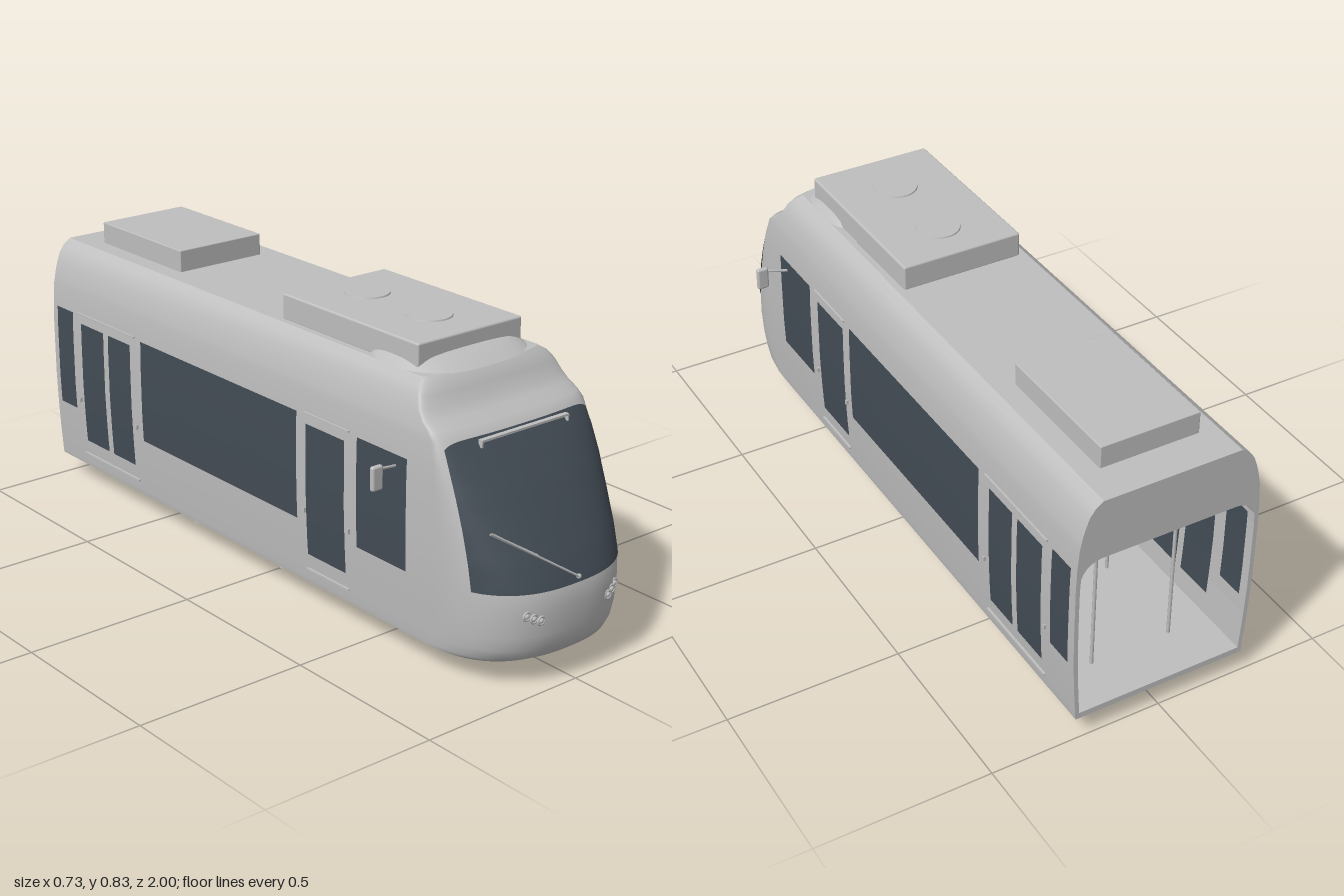
import * as THREE from 'three';
import { RoundedBoxGeometry } from 'three/addons/geometries/RoundedBoxGeometry.js';

// Body sections by height: [y, half width, front z, nose depth]
const SECTIONS = [
  [0.067, 0.255, 0.95, 0.25], [0.08, 0.257, 0.973, 0.25], [0.11, 0.259, 0.989, 0.25],
  [0.15, 0.262, 0.997, 0.25], [0.22, 0.266, 1.0, 0.25], [0.275, 0.268, 0.993, 0.25],
  [0.34, 0.27, 0.962, 0.21], [0.42, 0.27, 0.915, 0.16], [0.5, 0.27, 0.865, 0.115],
  [0.57, 0.268, 0.815, 0.075], [0.63, 0.263, 0.77, 0.045], [0.65, 0.259, 0.748, 0.04],
  [0.668, 0.255, 0.715, 0.035], [0.69, 0.249, 0.69, 0.03], [0.72, 0.238, 0.674, 0.03],
  [0.742, 0.222, 0.66, 0.03], [0.757, 0.2, 0.645, 0.03],
];
const HALF = Math.PI / 2;
const INNER = 0.012; // wall thickness

function section(y) {
  let i = 0;
  while (i < SECTIONS.length - 2 && SECTIONS[i + 1][0] < y) i++;
  const a = SECTIONS[i], b = SECTIONS[i + 1];
  const k = THREE.MathUtils.clamp((y - a[0]) / (b[0] - a[0]), 0, 1);
  return a.map((v, j) => v + (b[j] - v) * k);
}

// Point on the rounded nose; t runs from the right flank to the left flank
function nosePoint(t, y, out = 0) {
  const [, w, f, L] = section(y);
  const s = Math.sin(t), c = Math.max(0, Math.cos(t));
  return [Math.sign(s) * Math.abs(s) ** 0.8 * (w + out), y, f - L + (L + out) * c ** 0.8];
}

function grid(nu, nv, fn) {
  const pos = [], idx = [];
  for (let j = 0; j <= nv; j++) for (let i = 0; i <= nu; i++) pos.push(...fn(i / nu, j / nv, i, j));
  for (let j = 0; j < nv; j++) for (let i = 0; i < nu; i++) {
    const a = j * (nu + 1) + i, b = a + nu + 1;
    idx.push(a, a + 1, b + 1, a, b + 1, b);
  }
  const g = new THREE.BufferGeometry();
  g.setAttribute('position', new THREE.Float32BufferAttribute(pos, 3));
  g.setIndex(idx);
  g.computeVertexNormals();
  return g;
}

export function createModel() {
  const root = new THREE.Group();
  const grey = new THREE.MeshStandardMaterial({ color: 0xbebebe, side: THREE.DoubleSide });
  grey.name = 'bodyGrey';
  const dark = new THREE.MeshStandardMaterial({ color: 0x434c55, side: THREE.DoubleSide });
  dark.name = 'darkGlass';

  const add = (name, geo, mat = grey, x = 0, y = 0, z = 0) => {
    const m = new THREE.Mesh(geo, mat);
    m.name = name;
    m.position.set(x, y, z);
    root.add(m);
    return m;
  };
  const box = (name, w, h, d, x, y, z, mat) => add(name, new THREE.BoxGeometry(w, h, d), mat, x, y, z);
  const rod = (name, a, b, r) => {
    const path = new THREE.LineCurve3(new THREE.Vector3(...a), new THREE.Vector3(...b));
    return add(name, new THREE.TubeGeometry(path, 1, r, 8));
  };
  const disc = (name, r, width, x, y, z) => {
    const m = add(name, new THREE.CylinderGeometry(r, r, width, 32), grey, x, y, z);
    m.rotation.z = HALF;
    return m;
  };

  // Outer shell, open at the rear
  const N = 42;
  const outline = (i, y) => {
    const p = nosePoint(-HALF + Math.PI * THREE.MathUtils.clamp((i - 1) / (N - 2), 0, 1), y);
    if (i === 0 || i === N) p[2] = -1;
    return p;
  };
  add('bodyShell', grid(N, SECTIONS.length - 1, (u, v, i, j) => outline(i, SECTIONS[j][0])));
  const cap = (y, dir) => grid(N, 1, (u, v, i, j) => {
    const p = outline(i, y);
    return [p[0] * (dir > 0 ? 1 - j : j), y, p[2]];
  });
  add('roof', cap(0.757, 1));
  add('underside', cap(0.067, -1));

  // Inner lining and the rear end frame around the opening
  const lining = [[0, 0.085]];
  for (const y of [0.085, 0.2, 0.3, 0.42, 0.5]) lining.push([section(y)[1] - INNER, y]);
  for (let i = 1; i <= 6; i++) {
    const a = (i / 6) * HALF;
    lining.push([0.198 + 0.06 * Math.cos(a), 0.52 + 0.06 * Math.sin(a)]);
  }
  const mirrored = half => [...half, ...half.slice().reverse().map(([x, y]) => [-x, y])];
  const toVectors = pts => pts.map(p => new THREE.Vector2(...p));
  const ring = mirrored(lining);
  const wallShape = new THREE.Shape(toVectors(ring));
  const tube = grid(ring.length - 1, 1, (u, v, i, j) => [...ring[i], j ? 0.66 : -1]).toNonIndexed();
  tube.computeVertexNormals();
  add('innerLining', tube);
  add('cabWall', new THREE.ShapeGeometry(wallShape), grey, 0, 0, 0.66);
  const endShape = new THREE.Shape(toVectors(mirrored(SECTIONS.map(s => [s[1], s[0]]))));
  endShape.holes.push(new THREE.Path(toVectors(ring)));
  add('rearFrame', new THREE.ShapeGeometry(endShape), grey, 0, 0, -1);

  // Windscreen
  add('windscreen', grid(36, 24, (u, v) => {
    const k = u * 2 - 1;
    return nosePoint(k * 1.14, 0.27 + v * (0.359 - 0.016 * k ** 6), 0.003);
  }), dark);

  // Side glass, outside and inside: [z0, z1, y0, y1]
  const panes = [
    [0.45, 0.645, 0.25, 0.56], [0.24, 0.4, 0.155, 0.535], [-0.53, 0.2, 0.25, 0.56],
    [-0.7, -0.585, 0.155, 0.535], [-0.845, -0.725, 0.155, 0.535], [-0.975, -0.89, 0.25, 0.56],
  ];
  // Door openings: [z0, z1]
  const doors = [[0.232, 0.418], [-0.865, -0.562]];
  for (const s of [-1, 1]) {
    const patch = ([z0, z1, y0, y1], out) => grid(1, 8, (u, v) => {
      const y = y0 + (y1 - y0) * v;
      return [s * (section(y)[1] + out), y, z0 + (z1 - z0) * (s > 0 ? 1 - u : u)];
    });
    for (const p of panes) {
      add('sideWindow', patch(p, 0.002), dark);
      const inner = [p[0], p[1], p[2], Math.min(p[3], 0.525)];
      add('innerWindow', patch(inner, -INNER - 0.003), dark);
    }
    for (const [z0, z1] of doors) {
      const mid = (z0 + z1) / 2, len = z1 - z0;
      box('doorLintel', 0.008, 0.005, len, s * 0.27, 0.565, mid);
      box('doorSill', 0.012, 0.005, len - 0.01, s * 0.26, 0.11, mid);
      for (const z of [z0, z1]) {
        add('doorPost', patch([z - 0.003, z + 0.003, 0.11, 0.565], 0.004));
        box('doorButton', 0.008, 0.014, 0.008, s * 0.271, 0.285, z);
      }
    }
    add('doorSeam', patch([-0.715, -0.711, 0.11, 0.565], 0.003));

    // Mirror on its arm
    rod('mirrorArm', [s * 0.262, 0.528, 0.6], [s * 0.335, 0.541, 0.615], 0.004);
    add('mirror', new RoundedBoxGeometry(0.036, 0.068, 0.016, 3, 0.007), grey, s * 0.345, 0.519, 0.615);

    // Headlight cluster
    for (const [x, y] of [[0.119, 0.195], [0.138, 0.203], [0.156, 0.212]]) {
      const z = nosePoint(Math.asin((x / 0.265) ** 1.25), y)[2];
      add('headlightRing', new THREE.TorusGeometry(0.011, 0.003, 8, 24), grey, s * x, y, z + 0.002);
      add('headlight', new THREE.SphereGeometry(0.008, 16, 10), grey, s * x, y, z);
    }

    // Wheels, kept below the floor
    for (const z of [0.01, -0.4]) {
      const half = (name, r, w, x) => {
        const g = new THREE.CylinderGeometry(r, r, w, 32, 1, false, HALF, Math.PI);
        g.rotateZ(HALF);
        g.computeBoundingBox();
        if (g.boundingBox.max.y > 0.01) g.rotateX(Math.PI);
        add(name, g, grey, s * x, 0.068, z);
      };
      half('wheelFlange', 0.068, 0.007, 0.158);
      half('wheel', 0.06, 0.026, 0.172);
      half('brakeDisc', 0.04, 0.012, 0.107);
      box('axleBox', 0.06, 0.014, 0.05, s * 0.178, 0.061, z);
    }
  }

  // Axles and motors
  for (const z of [0.01, -0.4]) disc('axle', 0.006, 0.34, 0, 0.058, z);
  for (const z of [-0.09, -0.3]) disc('motor', 0.026, 0.165, -0.015, 0.066, z);

  // Wiper and display frame
  rod('wiperArm', [0, 0.285, 0.998], [-0.25, 0.45, 0.935], 0.003);
  rod('wiperBlade', [-0.12, 0.365, 0.966], [-0.25, 0.448, 0.932], 0.004);
  add('wiperPivot', new THREE.SphereGeometry(0.007, 12, 8), grey, 0, 0.285, 0.995);
  box('displayFrame', 0.304, 0.006, 0.014, 0, 0.622, 0.785);
  for (const s of [-1, 1]) box('displayFrameEnd', 0.005, 0.018, 0.014, s * 0.15, 0.614, 0.785);

  // Roof equipment
  add('frontRoofUnit', new RoundedBoxGeometry(0.362, 0.075, 0.55, 3, 0.006), grey, 0, 0.7905, 0.305);
  add('rearRoofUnit', new RoundedBoxGeometry(0.29, 0.07, 0.4, 2, 0.003), grey, -0.003, 0.786, -0.69);
  for (const z of [0.17, 0.42]) {
    add('roofFan', new THREE.CylinderGeometry(0.062, 0.064, 0.006, 32), grey, 0, 0.829, z);
  }
  // Fairing rings: [x scale, z half length, z centre, y]
  const rings = [[0.205, 0.16, 0.5, 0.755], [0.193, 0.147, 0.49, 0.768], [0.175, 0.125, 0.48, 0.782],
    [0.16, 0.1, 0.475, 0.788], [0, 0, 0.475, 0.79]];
  add('roofFairing', grid(48, 4, (u, v, i, j) => {
    const [rx, rz, cz, y] = rings[j], a = u * Math.PI * 2, c = Math.cos(a), s = Math.sin(a);
    return [rx * Math.sign(c) * Math.abs(c) ** 0.7, y, cz - rz * Math.sign(s) * Math.abs(s) ** 0.7];
  }));

  // Interior: seats and grab poles
  for (const s of [-1, 1]) {
    for (const z of [-0.4, -0.22, -0.04, 0.12]) {
      box('seatCushion', 0.13, 0.03, 0.09, s * 0.175, 0.21, z);
      box('seatBack', 0.13, 0.15, 0.02, s * 0.175, 0.285, z + 0.05);
      box('seatBase', 0.05, 0.11, 0.06, s * 0.19, 0.14, z);
    }
    for (const z of [-0.86, -0.56, 0.22, 0.43]) rod('grabPole', [s * 0.12, 0.085, z], [s * 0.12, 0.58, z], 0.005);
    rod('grabRail', [s * 0.12, 0.53, -0.86], [s * 0.12, 0.53, 0.43], 0.004);
  }
  return root;
}
